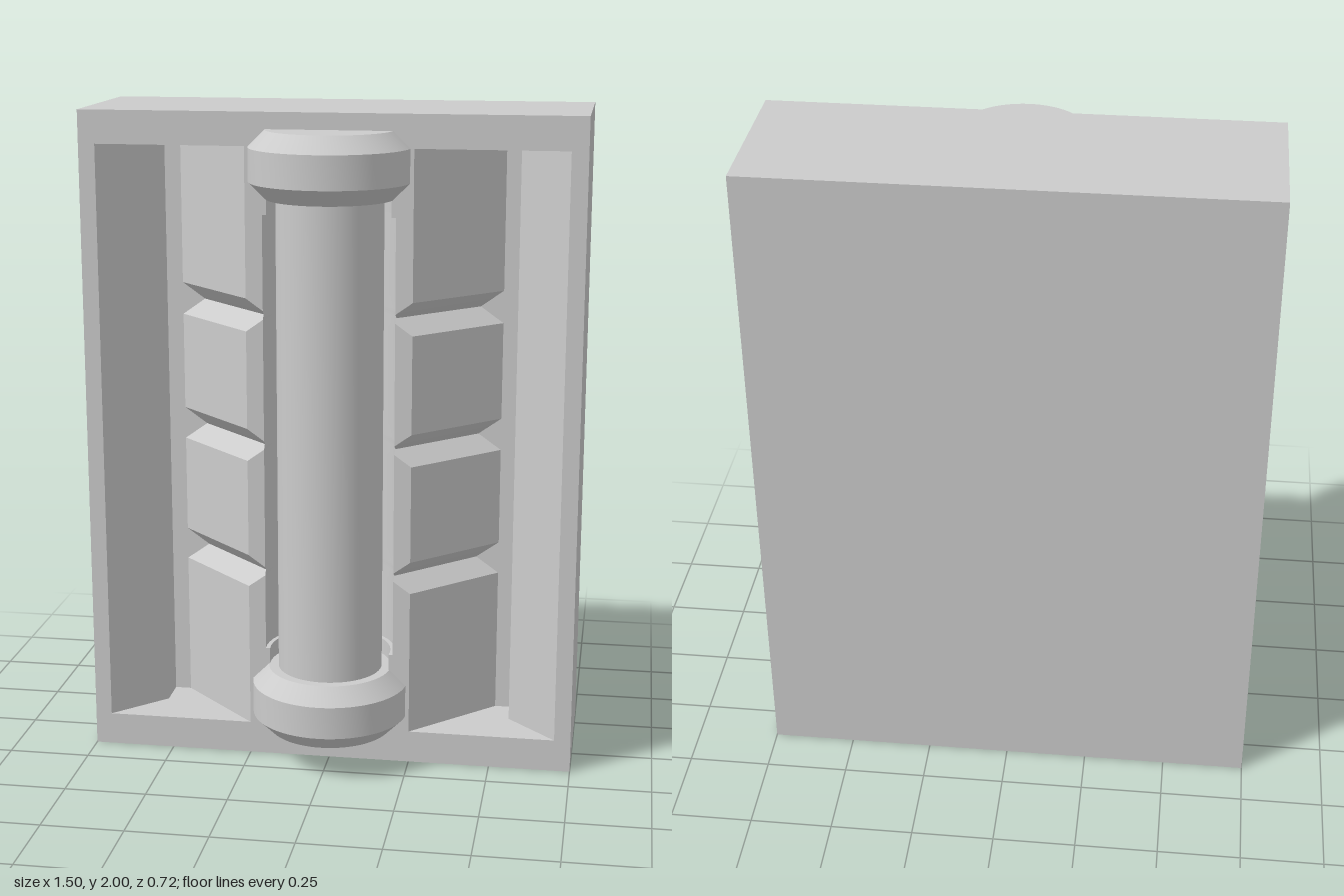
import * as THREE from 'three';
import { toCreasedNormals } from 'three/addons/utils/BufferGeometryUtils.js';

const FRONT = 0.14, FLOOR = -0.11, BACK = -0.36; // z levels of the casing
const AXIS_Z = 0.115; // centre line of the roller
const BOTTOM = 0.1, TOP = 1.9; // recess height range

// Cross-section of the central pylon, from -x to +x.
// groove: 0 = full profile, 1 = bottom of a V groove; r: channel radius
function pylonSection(groove, r) {
  const shift = 0.07 * groove;
  const edgeZ = groove === 1 ? 0.12 : FRONT;
  const edgeX = Math.sqrt(r * r - (edgeZ - AXIS_Z) ** 2);
  const half = [[0.5 - shift, FLOOR], [Math.max(0.25 - shift, edgeX), edgeZ]];
  const points = half.map(([x, z]) => [-x, z]);
  const start = Math.atan2(edgeZ - AXIS_Z, edgeX), steps = 24;
  for (let i = 0; i <= steps; i++) {
    const a = Math.PI - start + (i / steps) * (Math.PI + 2 * start);
    points.push([r * Math.cos(a), AXIS_Z + r * Math.sin(a)]);
  }
  return points.concat(half.reverse());
}

// Joins equal-length sections stacked along y
function loft(sections) {
  const positions = [], index = [], n = sections[0].points.length;
  sections.forEach(({ y, points }, j) => {
    points.forEach(([x, z]) => positions.push(x, y, z));
    if (j === 0) return;
    for (let i = 0; i < n - 1; i++) {
      const a = (j - 1) * n + i, c = a + n;
      index.push(a, a + 1, c + 1, a, c + 1, c);
    }
  });
  const geometry = new THREE.BufferGeometry();
  geometry.setAttribute('position', new THREE.Float32BufferAttribute(positions, 3));
  geometry.setIndex(index);
  return toCreasedNormals(geometry, 0.4);
}

export function createModel() {
  const model = new THREE.Group();
  model.name = 'rollerCasing';
  const material = new THREE.MeshStandardMaterial({ color: 0xcccccc });
  const add = (name, geometry, mat = material) => {
    const mesh = new THREE.Mesh(geometry, mat);
    mesh.name = name;
    model.add(mesh);
    return mesh;
  };

  // Outer frame with a rectangular recess
  const outline = new THREE.Shape([[-0.75, 0], [0.75, 0], [0.75, 2], [-0.75, 2]]
    .map(([x, y]) => new THREE.Vector2(x, y)));
  outline.holes.push(new THREE.Path([[-0.7, BOTTOM], [-0.7, TOP], [0.7, TOP], [0.7, BOTTOM]]
    .map(([x, y]) => new THREE.Vector2(x, y))));
  const frame = new THREE.ExtrudeGeometry(outline, { depth: FRONT - BACK, bevelEnabled: false });
  add('frame', frame.translate(0, 0, BACK));

  // Solid back filling the frame up to the recess floor
  add('backPanel', new THREE.BoxGeometry(1.4, TOP - BOTTOM, FLOOR - BACK))
    .position.set(0, 1, (FLOOR + BACK) / 2);

  // Sloped rails along both sides of the recess
  for (const [name, side] of [['leftRail', 1], ['rightRail', -1]]) {
    const profile = new THREE.Shape([[0.7, FRONT], [0.55, -0.01], [0.55, FLOOR], [0.7, FLOOR]]
      .map(([x, z]) => new THREE.Vector2(side * x, -z)));
    const rail = new THREE.ExtrudeGeometry(profile, { depth: TOP - BOTTOM, bevelEnabled: false });
    add(name, rail.rotateX(-Math.PI / 2).translate(0, BOTTOM, 0));
  }

  // Central pylon: sloped flanks with three V grooves and a round channel
  const narrow = 0.187, wide = 0.2, merge = 0.74;
  const sections = [];
  const section = (y, groove, r) => sections.push({ y, points: pylonSection(groove, r) });
  section(BOTTOM, 0, narrow);
  section(0.35, 0, narrow);
  section(0.35, 0, wide);
  for (const y of [0.6, 1, 1.4]) {
    for (const g of [0, merge, 1]) section(y - 0.05 * (1 - g), g, wide);
    for (const g of [merge, 0]) section(y + 0.05 * (1 - g), g, wide);
  }
  section(1.7, 0, wide);
  section(1.7, 0, narrow);
  section(TOP, 0, narrow);
  const pylonMaterial = material.clone();
  pylonMaterial.side = THREE.DoubleSide;
  add('groovedPylon', loft(sections), pylonMaterial);

  // Roller with a chamfered collar at each end
  const collar = [[0, 0], [0.19, 0], [0.24, 0.05], [0.24, 0.15], [0.19, 0.2], [0.16, 0.2]];
  const rollerProfile = [
    ...collar.map(([r, y]) => new THREE.Vector2(r, 0.1 + y)),
    ...collar.map(([r, y]) => new THREE.Vector2(r, 1.95 - y)).reverse(),
  ];
  add('roller', toCreasedNormals(new THREE.LatheGeometry(rollerProfile, 64), 0.5))
    .position.z = AXIS_Z;

  return model;
}
